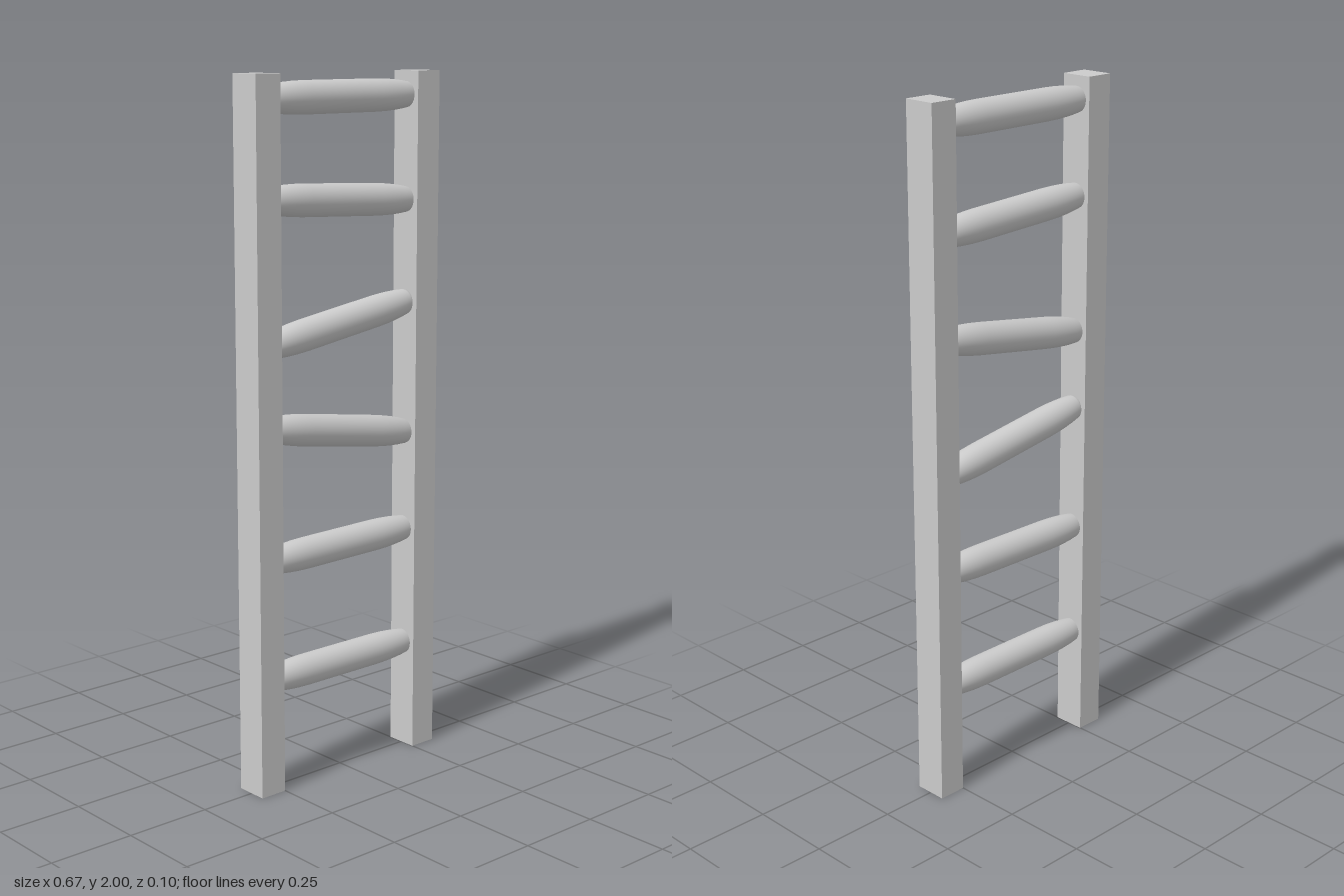
import * as THREE from 'three';

const material = new THREE.MeshStandardMaterial({ color: 0xcccccc });

// Turned rung: straight in the middle, tapering where it enters the rails
function rungGeometry() {
  const half = [[0, 0.0435], [0.13, 0.0435], [0.17, 0.0425], [0.2, 0.0405], [0.225, 0.038], [0.25, 0.0345], [0.27, 0.029]];
  const points = [
    new THREE.Vector2(0, -0.27),
    ...half.slice(1).reverse().map(([x, r]) => new THREE.Vector2(r, -x)),
    ...half.map(([x, r]) => new THREE.Vector2(r, x)),
    new THREE.Vector2(0, 0.27),
  ];
  return new THREE.LatheGeometry(points, 32).rotateZ(Math.PI / 2).scale(1, 1.05, 1);
}

export function createModel() {
  const group = new THREE.Group();
  group.name = 'ladder';

  // Square side rails
  const railGeometry = new THREE.BoxGeometry(0.083, 2, 0.096);
  for (const side of [-1, 1]) {
    const rail = new THREE.Mesh(railGeometry, material);
    rail.name = side > 0 ? 'leftRail' : 'rightRail';
    rail.position.set(side * 0.2915, 1, 0);
    group.add(rail);
  }

  // Rungs as [height, tilt], some knocked askew
  const rungs = [[0.322, 0], [0.67, 0.015], [1.003, -0.15], [1.31, 0.15], [1.653, -0.05], [1.934, 0]];
  const geometry = rungGeometry();
  rungs.forEach(([y, tilt], i) => {
    const rung = new THREE.Mesh(geometry, material);
    rung.name = `rung${i + 1}`;
    rung.position.set(0, y, -0.001);
    rung.rotation.z = tilt;
    group.add(rung);
  });

  return group;
}
